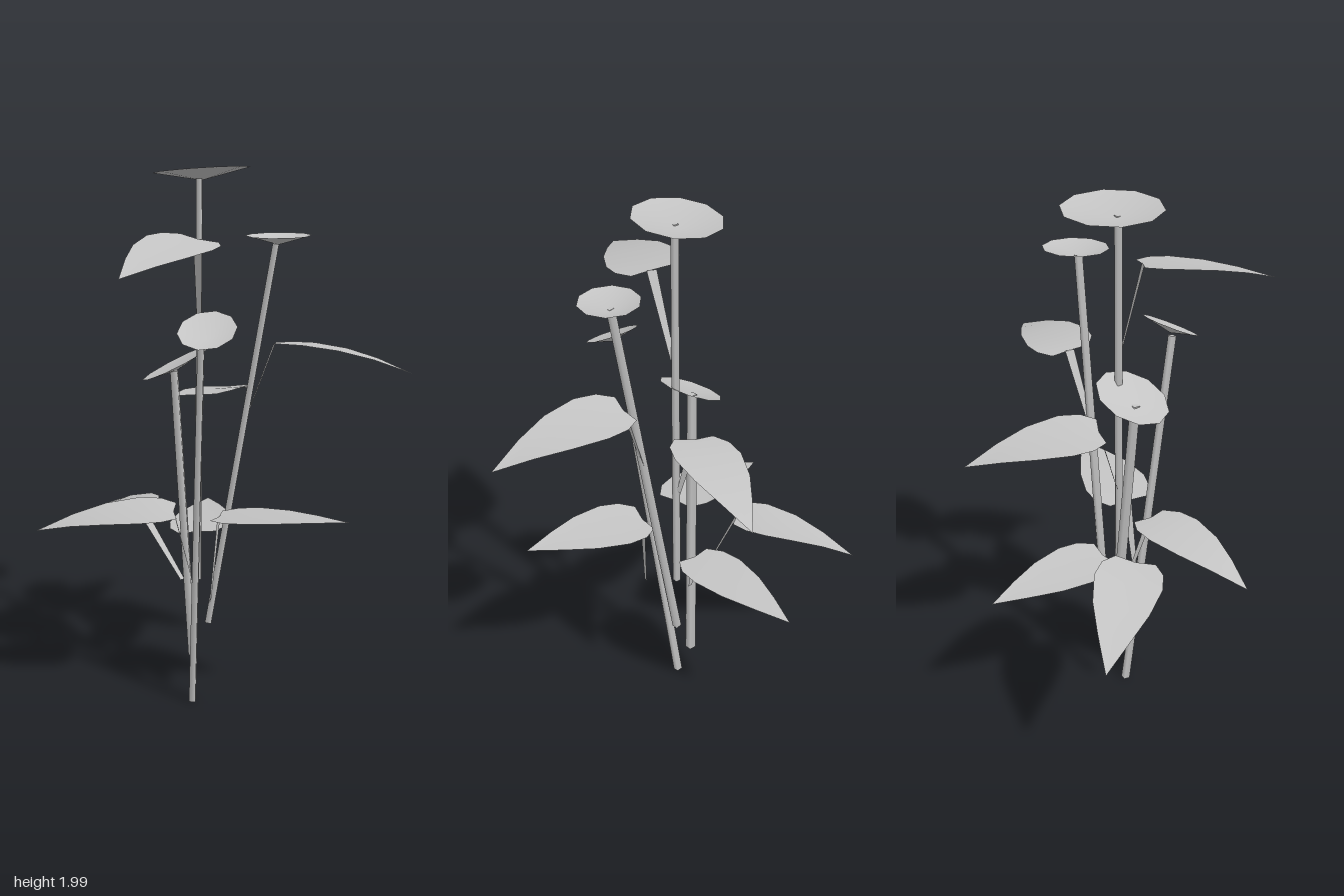
import * as THREE from 'three';

const plantGrey = new THREE.MeshStandardMaterial({ color: 0xc4c4c4, side: THREE.DoubleSide });
plantGrey.name = 'plant grey';
const V = (p) => new THREE.Vector3(...p);

function surface(name, points, index) {
  const g = new THREE.BufferGeometry();
  g.setAttribute('position', new THREE.Float32BufferAttribute(points.flat(), 3));
  g.setIndex(index);
  g.computeVertexNormals();
  const m = new THREE.Mesh(g, plantGrey);
  m.name = name;
  return m;
}

// Slim four-sided stalk between two points
function stem(from, to, radius) {
  const a = V(from), b = V(to), dir = b.clone().sub(a);
  const m = new THREE.Mesh(new THREE.CylinderGeometry(radius * 0.9, radius, dir.length(), 4), plantGrey);
  m.position.copy(a).lerp(b, 0.5);
  m.quaternion.setFromUnitVectors(new THREE.Vector3(0, 1, 0), dir.normalize());
  m.name = 'stem';
  return m;
}

// Shallow dish: its rim is sheared by a slope in x and z, its centre sinks
function flowerHead([cx, cy, cz], rx, rz, slopeX, slopeZ, depth) {
  const sides = 10, points = [[cx, cy - depth, cz]], index = [];
  for (let i = 0; i < sides; i++) {
    const a = (i / sides) * Math.PI * 2 + 0.3;
    const x = Math.cos(a) * rx, z = Math.sin(a) * rz;
    points.push([cx + x, cy + slopeX * x + slopeZ * z, cz + z]);
    index.push(0, 1 + ((i + 1) % sides), 1 + i);
  }
  return surface('flowerHead', points, index);
}

// Pointed blade: position along the length, relative half width
const outline = [[-0.02, 0.6], [0.09, 0.91], [0.25, 1], [0.5, 0.82], [0.74, 0.46], [1, 0]];

function leafBlade(base, tip, halfWidth, arch, roll) {
  const b = V(base), t = V(tip);
  const axis = new THREE.Vector3(t.x - b.x, 0, t.z - b.z).normalize();
  const points = [], index = [];
  outline.forEach(([s, w], row) => {
    const c = b.clone().lerp(t, s);
    c.y += arch * 4 * s * (1 - s);
    for (const side of [-1, 0, 1]) {
      // The rounded lobes start just behind the junction with the stalk
      const notch = row === 0 && side === 0 ? 0.02 * b.distanceTo(t) : 0;
      const d = side * w * halfWidth;
      points.push([
        c.x + axis.z * d + axis.x * notch,
        c.y + roll * d + Math.abs(d) * 0.04,
        c.z - axis.x * d + axis.z * notch,
      ]);
    }
    if (row > 0) {
      for (let k = 0; k < 2; k++) {
        const p = (row - 1) * 3 + k, q = p + 3;
        index.push(p, q, p + 1, p + 1, q, q + 1);
      }
    }
  });
  return surface('leafBlade', points, index);
}

// Flat strip carrying a leaf, wider at the top
function leafStalk(from, base, tip) {
  const dx = tip[0] - base[0], dz = tip[2] - base[2], l = Math.hypot(dx, dz);
  const points = [];
  for (const [p, w] of [[from, 0.009], [base, 0.018]])
    for (const s of [-w, w]) points.push([p[0] + (dz / l) * s, p[1], p[2] - (dx / l) * s]);
  return surface('leafStalk', points, [0, 2, 1, 1, 2, 3]);
}

export function createModel() {
  const plant = new THREE.Group();
  plant.name = 'plant';

  // Flowers: stem foot, stem top, stem radius, rim centre, rim radii, slopes, depth
  const flowers = [
    [[0.062, 0.5, -0.01], [0.058, 1.955, -0.012], 0.015, [0.048, 1.983, -0.03], 0.154, 0.178, 0.11, 0, 0.035],
    [[0.06, 0.31, -0.06], [0.255, 1.74, -0.19], 0.017, [0.257, 1.768, -0.2], 0.105, 0.122, 0, 0, 0.032],
    [[0.062, 0.008, 0.018], [0.272, 1.45, 0.15], 0.017, [0.291, 1.482, 0.14], 0.094, 0.104, -0.36, -0.34, 0.03],
    [[0.008, 0.17, -0.025], [0.005, 1.29, 0.058], 0.02, [0.009, 1.318, 0.048], 0.111, 0.131, 0.35, -0.35, 0.028],
  ];
  for (const [foot, top, r, ...head] of flowers) {
    const flower = new THREE.Group();
    flower.name = 'flower';
    flower.add(stem(foot, top, r), flowerHead(...head));
    plant.add(flower);
  }

  // Leaves: stalk foot, blade base, blade tip, half width, arch, roll
  const leaves = [
    [[0.166, 1.09, -0.13], [0.222, 1.385, -0.222], [0.62, 1.308, -0.5], 0.12, 0.028, -0.13],
    [[0.187, 0.46, 0.035], [0.19, 0.78, 0.0], [0.585, 0.81, -0.255], 0.125, 0.005, -0.07],
    [[-0.015, 0.475, 0.005], [-0.165, 0.74, 0.09], [-0.62, 0.58, 0.065], 0.125, 0.033, -0.12],
    [[0.068, 1.46, -0.005], [0.14, 1.762, 0.06], [0.315, 1.68, 0.508], 0.125, 0.018, -0.15],
    [[0.066, 0.49, 0.02], [0.068, 0.79, 0.11], [-0.235, 0.718, 0.505], 0.125, 0.024, -0.07],
    [[0.057, 0.89, -0.01], [-0.01, 1.18, -0.07], [-0.215, 1.105, -0.515], 0.124, 0.022, -0.14],
    [[0.008, 0.5, -0.045], [-0.01, 0.652, -0.06], [-0.36, 0.63, -0.4], 0.118, 0.006, -0.09],
  ];
  for (const [foot, base, tip, ...shape] of leaves) {
    const leaf = new THREE.Group();
    leaf.name = 'leaf';
    leaf.add(leafStalk(foot, base, tip), leafBlade(base, tip, ...shape));
    plant.add(leaf);
  }
  return plant;
}
